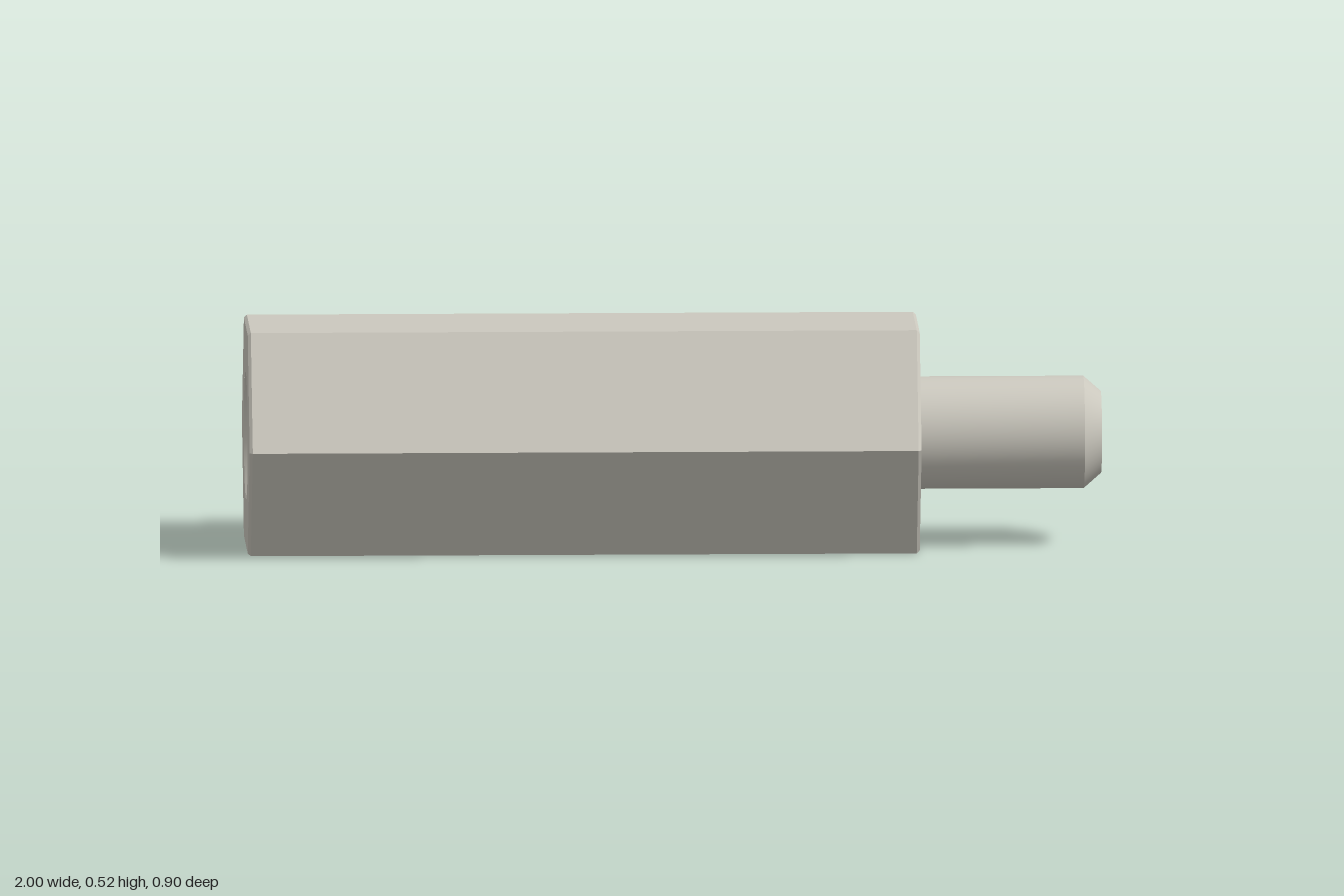
import * as THREE from 'three';
import { toCreasedNormals } from 'three/addons/utils/BufferGeometryUtils.js';

const R = 0.2985;        // hex corner radius
const LENGTH = 1.542;    // hex body length
const CHAMFER = 0.007;
const STUD_R = 0.129;
const STUD_END = LENGTH + 0.42;
const MOUTH_R = 0.146;   // countersink at the socket mouth
const BORE_R = 0.11;
const BORE_DEPTH = 0.75;

// Revolve a profile of [radius, height] pairs, keeping hard edges crisp
function turned(profile, sides) {
  const points = profile.map(([r, y]) => new THREE.Vector2(r, y));
  return toCreasedNormals(new THREE.LatheGeometry(points, sides), Math.PI / 6);
}

export function createModel() {
  const metal = new THREE.MeshStandardMaterial({ color: 0xcbc8be });
  metal.name = 'satin metal';

  const spacer = new THREE.Group();
  spacer.name = 'hexSpacer';
  const add = (name, geometry) => {
    const mesh = new THREE.Mesh(geometry, metal);
    mesh.name = name;
    spacer.add(mesh);
  };

  // Hexagonal body with lightly broken edges, closed at the stud end
  add('hexBody', turned([
    [R - CHAMFER, 0], [R, CHAMFER],
    [R, LENGTH - CHAMFER], [R - CHAMFER, LENGTH], [0, LENGTH],
  ], 6));

  // Socket end face: hexagon with a round opening
  const face = new THREE.Shape();
  for (let i = 0; i < 6; i++) {
    const a = Math.PI / 2 + i * Math.PI / 3;
    const x = (R - CHAMFER) * Math.cos(a), y = (R - CHAMFER) * Math.sin(a);
    if (i === 0) face.moveTo(x, y); else face.lineTo(x, y);
  }
  face.closePath();
  face.holes.push(new THREE.Path().absarc(0, 0, MOUTH_R, 0, Math.PI * 2, true));
  add('socketFace', new THREE.ShapeGeometry(face, 48).rotateX(Math.PI / 2));

  // Countersunk blind bore, facing inward
  add('socketBore', turned([
    [0, BORE_DEPTH], [BORE_R, BORE_DEPTH], [BORE_R, 0.036], [MOUTH_R, 0],
  ], 48));

  // Round stud with a chamfered tip
  add('stud', turned([
    [STUD_R, LENGTH - 0.01], [STUD_R, STUD_END - 0.04],
    [0.094, STUD_END], [0, STUD_END],
  ], 48));

  // Lay the spacer on a flat, turned slightly toward the front
  spacer.rotation.set(0, -THREE.MathUtils.degToRad(12.1), -Math.PI / 2);
  spacer.position.set(-0.9375, R * Math.cos(Math.PI / 6), -0.163);

  const model = new THREE.Group();
  model.name = 'standoffSpacer';
  model.add(spacer);
  return model;
}
